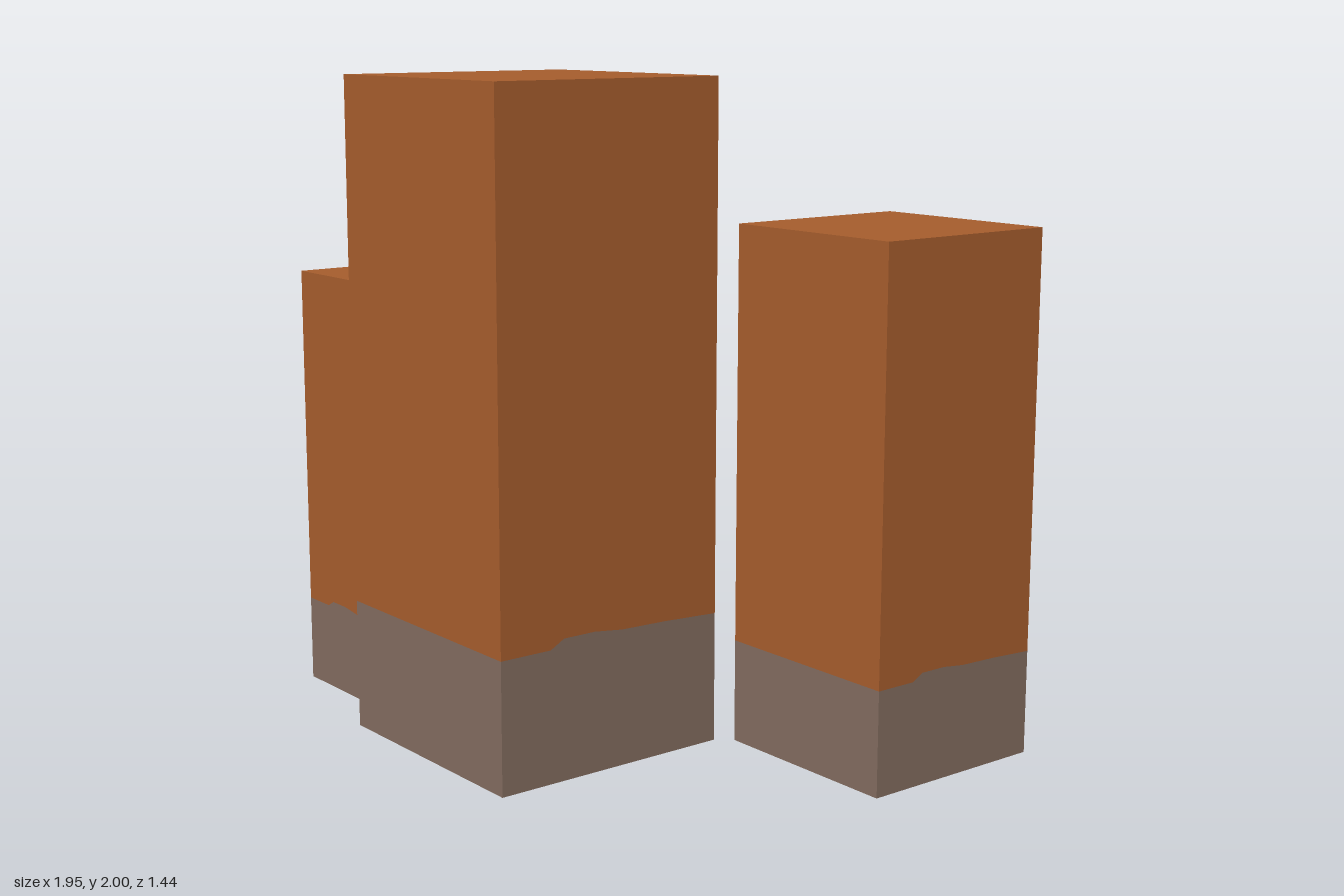
import * as THREE from 'three';

const brick = new THREE.MeshStandardMaterial({ color: 0xa65d2d });
brick.name = 'rust brown';
const stone = new THREE.MeshStandardMaterial({ color: 0x826c5f });
stone.name = 'grey brown';

const WIDTH = 0.39; // tower width for a height of 1

// Edge between base and wall on each side, left to right from outside: [across, height]
const sides = [
  { name: 'front', turn: 0, edge: [[0, 0.2], [1, 0.2]] },
  { name: 'left', turn: Math.PI / 2, edge: [[0, 0.2], [0.22, 0.2], [0.28, 0.213], [0.42, 0.213], [0.55, 0.207], [0.75, 0.205], [1, 0.2]] },
  { name: 'back', turn: Math.PI, edge: [[0, 0.193], [1, 0.2]] },
  { name: 'right', turn: -Math.PI / 2, edge: [[0, 0.2], [0.3, 0.213], [0.53, 0.228], [0.55, 0.298], [1, 0.285]] },
];

// Flat face between the base edge and a straight line at height y
function panel(edge, y) {
  const pts = edge.map(([u, v]) => new THREE.Vector2((u - 0.5) * WIDTH, v));
  pts.push(new THREE.Vector2(WIDTH / 2, y), new THREE.Vector2(-WIDTH / 2, y));
  return new THREE.ShapeGeometry(new THREE.Shape(pts)).translate(0, 0, WIDTH / 2);
}

function addMesh(group, name, geometry, material) {
  const mesh = new THREE.Mesh(geometry, material);
  mesh.name = name;
  group.add(mesh);
}

// Square tower of height 1 with an uneven base band
function createTower(name, height, x, z, turn) {
  const tower = new THREE.Group();
  tower.name = name;
  for (const side of sides) {
    addMesh(tower, side.name + 'Base', panel(side.edge, 0).rotateY(side.turn), stone);
    addMesh(tower, side.name + 'Wall', panel(side.edge, 1).rotateY(side.turn), brick);
  }
  addMesh(tower, 'roof', new THREE.PlaneGeometry(WIDTH, WIDTH).rotateX(-Math.PI / 2).translate(0, 1, 0), brick);
  addMesh(tower, 'underside', new THREE.PlaneGeometry(WIDTH, WIDTH).rotateX(Math.PI / 2), stone);
  tower.scale.setScalar(height);
  tower.rotation.y = turn;
  tower.position.set(x, 0, z);
  return tower;
}

export function createModel() {
  const model = new THREE.Group();
  model.name = 'towers';
  model.add(
    createTower('tallTower', 2, -0.07, 0.33, 0),
    createTower('middleTower', 1.575, 0.667, -0.415, 0),
    createTower('shortTower', 1.36, -0.712, 0.327, -Math.PI / 2),
  );
  return model;
}
